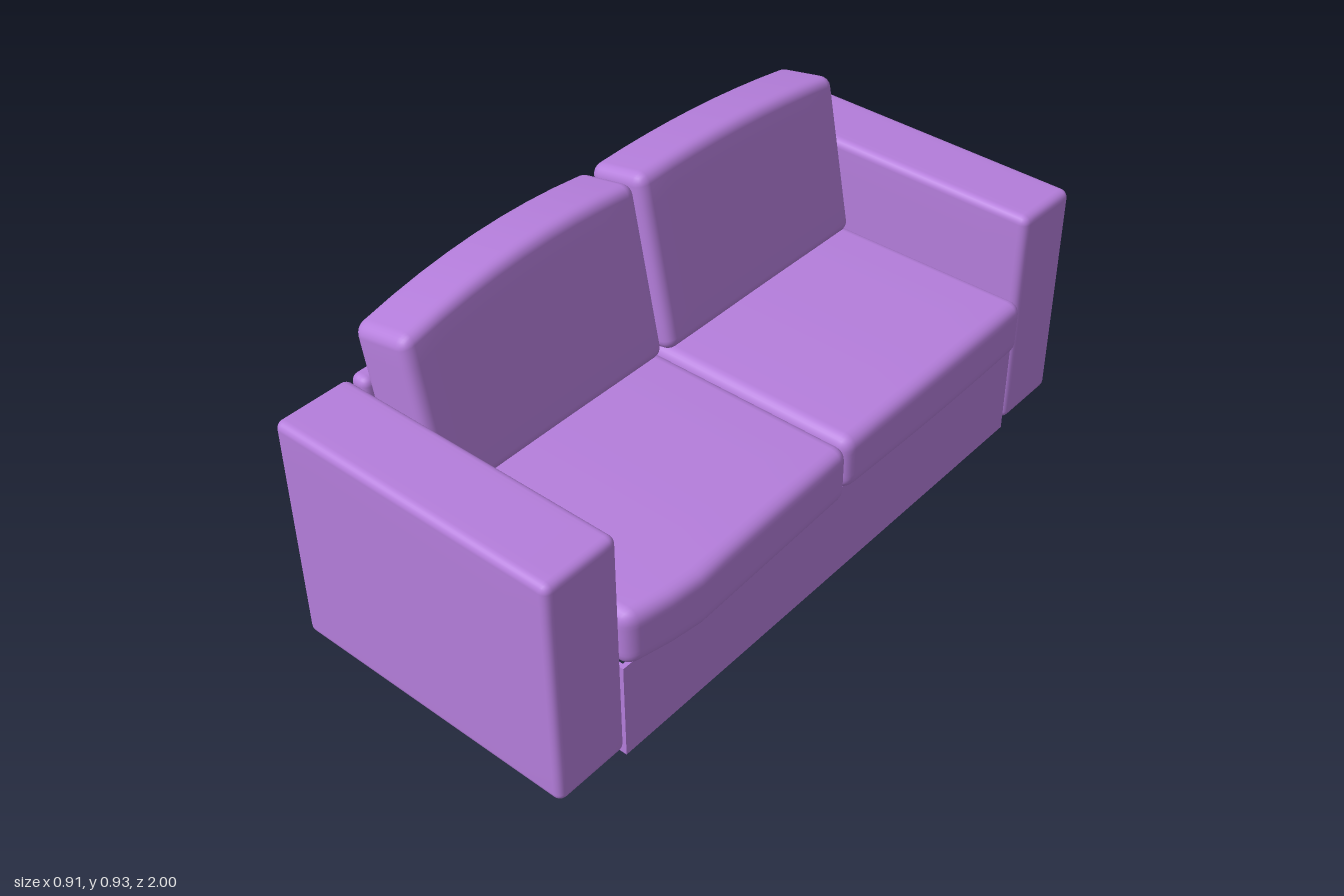
import * as THREE from 'three';
import { mergeVertices } from 'three/addons/utils/BufferGeometryUtils.js';

const material = new THREE.MeshStandardMaterial({ color: 0xb57edc, side: THREE.DoubleSide });

// Box with rounded edges, given by its min and max corners; warp(v) then bends its vertices
function softBox(name, min, max, r, warp) {
  const s = 3, m = 8, n = 2 * s + m;
  const geo = new THREE.BoxGeometry(1, 1, 1, n, n, n);
  const half = max.map((v, i) => (v - min[i]) / 2);
  const mid = max.map((v, i) => (v + min[i]) / 2);
  const pos = geo.attributes.position, v = new THREE.Vector3();
  // Crowd the grid lines into the rounded borders
  const place = (u, h) => {
    const i = Math.round((u + 0.5) * n);
    if (i <= s) return -h + (r * i) / s;
    if (i >= n - s) return h - (r * (n - i)) / s;
    return (h - r) * (2 * (i - s) / m - 1);
  };
  for (let i = 0; i < pos.count; i++) {
    v.set(place(pos.getX(i), half[0]), place(pos.getY(i), half[1]), place(pos.getZ(i), half[2]));
    const core = new THREE.Vector3(...half).subScalar(r);
    const inner = v.clone().clamp(core.clone().negate(), core);
    const out = v.clone().sub(inner);
    if (out.lengthSq() > 0) v.copy(inner).add(out.setLength(r));
    v.add(new THREE.Vector3(...mid));
    if (warp) warp(v);
    pos.setXYZ(i, v.x, v.y, v.z);
  }
  geo.deleteAttribute('normal');
  geo.deleteAttribute('uv');
  const merged = mergeVertices(geo, 1e-5);
  merged.computeVertexNormals();
  const mesh = new THREE.Mesh(merged, material);
  mesh.name = name;
  return mesh;
}

export function createModel() {
  const sofa = new THREE.Group();
  sofa.name = 'sofa';

  // Hollow base: four thin panels, open below
  const base = new THREE.Group();
  base.name = 'base';
  const panel = (name, w, d, x, z) => {
    const mesh = new THREE.Mesh(new THREE.BoxGeometry(w, 0.28, d), material);
    mesh.name = name;
    mesh.position.set(x, 0.14, z);
    base.add(mesh);
  };
  panel('frontPanel', 0.012, 1.56, 0.394, 0);
  panel('rearPanel', 0.012, 1.56, -0.379, 0);
  for (const side of [1, -1]) panel('sidePanel', 0.77, 0.012, 0.008, side * 0.774);
  sofa.add(base);

  // Back rest
  sofa.add(softBox('backRest', [-0.44, 0.005, -0.78], [-0.382, 0.69, 0.78], 0.022));

  // Arms, the right one tipped a little outward
  sofa.add(softBox('leftArm', [-0.445, 0.025, 0.782], [0.403, 0.682, 1], 0.022));
  sofa.add(softBox('rightArm', [-0.455, 0.02, -1], [0.403, 0.685, -0.782], 0.024, (v) => {
    if (v.y > 0.3) v.y += 0.035 * (v.z + 0.9) - 0.012 * v.x;
  }));

  // Seat cushions with slightly bulging fronts and tops
  const seats = [
    { z0: 0.002, z1: 0.78, front: 0.435, bulge: (z) => 0.02 * z / 0.6 - (z > 0.6 ? (z - 0.6) * 0.26 : 0) },
    { z0: -0.78, z1: -0.002, front: 0.425, bulge: (z) => 0.006 * Math.sin(-z * 4) },
  ];
  for (const { z0, z1, front, bulge } of seats) {
    sofa.add(softBox('seatCushion', [-0.37, 0.28, z0], [front, 0.44, z1], 0.035, (v) => {
      const w = Math.sin((Math.PI * (v.z - z0)) / (z1 - z0));
      if (v.x > 0.2) v.x += bulge(v.z) * (v.x - 0.2) / (front - 0.2);
      if (v.y > 0.36) v.y += 0.007 * w;
    }));
  }

  // Leaning back cushions with arched tops
  const backs = [
    { z0: 0.004, z1: 0.78, x: -0.148, peak: 0.27, drop: 0.23 },
    { z0: -0.775, z1: -0.004, x: -0.14, peak: -0.2, drop: 0.13 },
  ];
  for (const { z0, z1, x, peak, drop } of backs) {
    const cushion = softBox('backCushion', [-0.18, 0, z0], [0, 0.505, z1], 0.032, (v) => {
      v.y -= (v.y / 0.505) * drop * (v.z - peak) ** 2;
    });
    cushion.position.set(x, 0.437, 0);
    cushion.rotation.z = 0.185;
    sofa.add(cushion);
  }
  return sofa;
}
